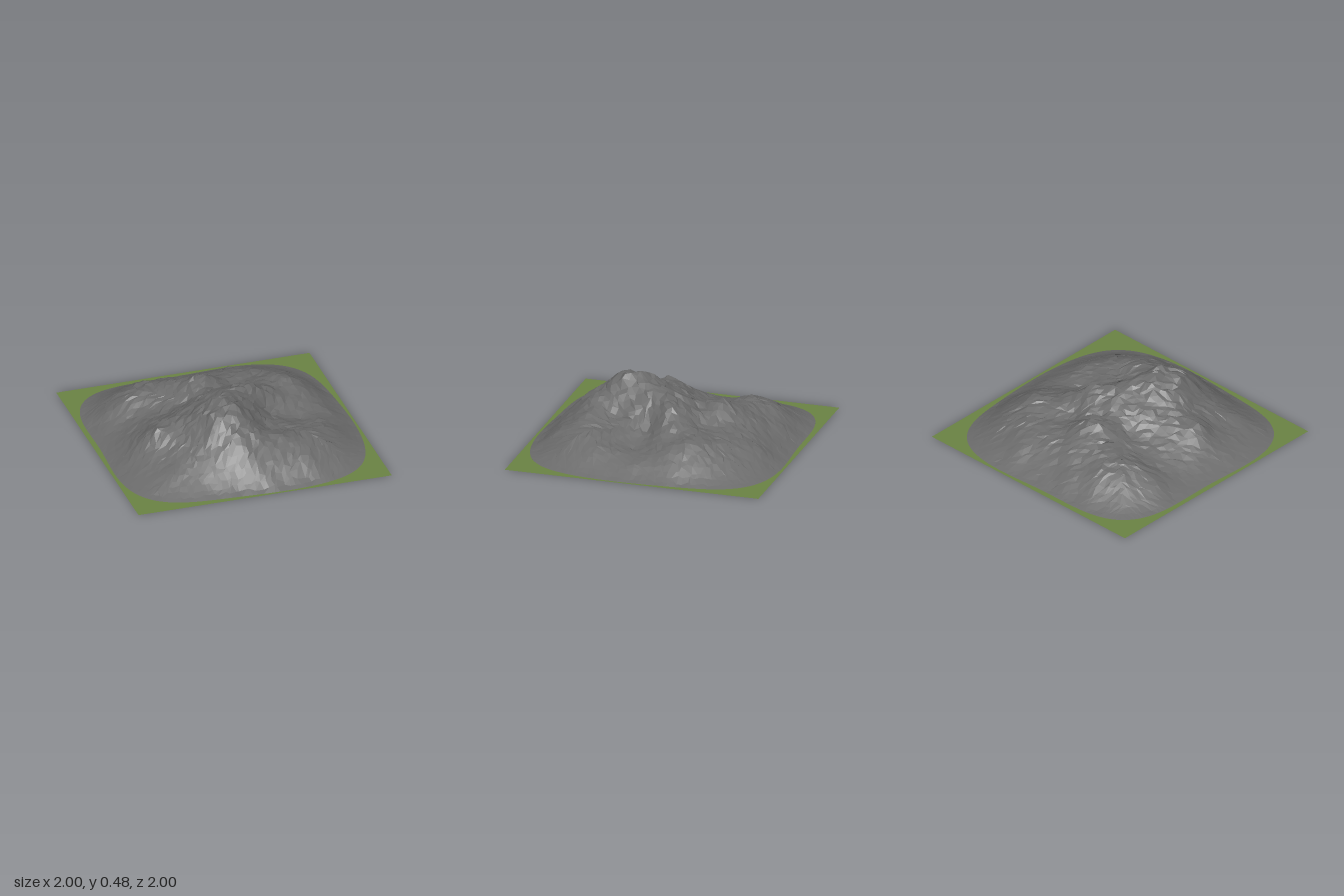
import * as THREE from 'three';

// Ridge and hollow lines, each a path of [x, z, height]
const LINES = [
  // main crest, west to east
  [[-0.8, 0.15, 0.09], [-0.6, 0.22, 0.265], [-0.42, 0.31, 0.255], [-0.23, 0.41, 0.43], [-0.05, 0.32, 0.47],
    [0.03, 0.1, 0.4], [0.15, -0.02, 0.38], [0.28, -0.07, 0.345], [0.47, -0.2, 0.22], [0.58, -0.3, 0.24],
    [0.72, -0.27, 0.17]],
  // front buttress, west spur and the gully between spur and crest
  [[-0.12, 0.48, 0.41], [-0.05, 0.7, 0.25], [0.02, 0.9, 0.06]],
  [[-0.3, 0.44, 0.33], [-0.4, 0.55, 0.21], [-0.75, 0.75, 0.04]],
  [[-0.6, 0.38, 0.16]],
  // rim around the eastern hollow
  [[0, 0.4, 0.41], [0.14, 0.5, 0.28], [0.37, 0.59, 0.21], [0.6, 0.54, 0.165], [0.69, 0.36, 0.135],
    [0.7, 0.03, 0.11]],
  // ribs and hollows in the east face
  [[0.18, 0.18, 0.3]], [[0.2, 0.36, 0.21]], [[0.42, 0.24, 0.16]], [[0.3, 0.08, 0.18], [0.55, 0.12, 0.1]],
  // saddle, rear peak and its north spur
  [[-0.02, -0.22, 0.275], [-0.08, -0.36, 0.345], [-0.2, -0.55, 0.22], [-0.22, -0.8, 0.1]],
  // north west ridge and knoll
  [[-0.35, -0.47, 0.22], [-0.6, -0.45, 0.19], [-0.8, -0.42, 0.1]], [[-0.46, -0.65, 0.19]],
  // western basin
  [[-0.28, -0.18, 0.2], [-0.65, -0.26, 0.11]],
  // northern shelf
  [[0.2, -0.3, 0.2], [0.3, -0.62, 0.185], [0.3, -0.78, 0.12]], [[0.6, -0.55, 0.16]],
  // outer flanks
  [[0.82, -0.35, 0.09], [0.82, 0.4, 0.07]], [[0.4, 0.8, 0.12]],
];

const CELLS = 46;

// Repeatable scatter between -0.5 and 0.5
const scatter = (n) => { const s = Math.sin(n * 127.1 + 11.7) * 43758.5453; return s - Math.floor(s) - 0.5; };

// Foot of the mountain: a rounded square with a slightly uneven edge
function footPoint(a) {
  const c = Math.cos(a), s = Math.sin(a);
  const r = (0.97 + 0.012 * Math.sin(5 * a + 1)) / Math.pow(c ** 4 + s ** 4, 0.25);
  return new THREE.Vector2(c * r, s * r);
}
const footOutline = (count) => Array.from({ length: count }, (_, i) => footPoint((i / count) * Math.PI * 2));

// Points and midpoints of every line, plus the flat foot
function controlPoints() {
  const pts = [];
  for (const line of LINES) {
    line.forEach((p, i) => {
      pts.push(p);
      if (i) pts.push(p.map((v, k) => (v + line[i - 1][k]) / 2));
    });
  }
  for (const { x, y } of footOutline(32)) pts.push([x, y, 0], [x * 0.945, y * 0.945, 0.018]);
  return pts;
}

// Height that passes through all points: weighted distances plus a constant
function heightField(pts) {
  const n = pts.length;
  const m = pts.map((p) => [...pts.map((q) => Math.hypot(p[0] - q[0], p[1] - q[1])), 1, p[2]]);
  m.push([...pts.map(() => 1), 0, 0]);
  for (let c = 0; c <= n; c++) {
    let best = c;
    for (let r = c + 1; r <= n; r++) if (Math.abs(m[r][c]) > Math.abs(m[best][c])) best = r;
    [m[c], m[best]] = [m[best], m[c]];
    for (let r = 0; r <= n; r++) {
      if (r === c) continue;
      const f = m[r][c] / m[c][c];
      for (let k = c; k <= n + 1; k++) m[r][k] -= f * m[c][k];
    }
  }
  const w = m.map((row, i) => row[n + 1] / row[i]);
  return (x, z) => pts.reduce((s, p, i) => s + w[i] * Math.hypot(p[0] - x, p[1] - z), w[n]);
}

// Faceted mountain: a grid drawn in to the rounded foot, scattered and raised
function mountainGeometry() {
  const height = heightField(controlPoints());
  const geo = new THREE.PlaneGeometry(2, 2, CELLS, CELLS).rotateX(-Math.PI / 2);
  const pos = geo.attributes.position;
  for (let i = 0; i < pos.count; i++) {
    const u = pos.getX(i), v = pos.getZ(i);
    const t = Math.max(Math.abs(u), Math.abs(v));
    const foot = footPoint(Math.atan2(v, u)).multiplyScalar(t);
    if (t > 0.999) {
      pos.setXYZ(i, foot.x, 0, foot.y);
      continue;
    }
    const x = foot.x + 0.03 * scatter(i), z = foot.y + 0.03 * scatter(i + 5000);
    const crags = 0.03 * Math.sin(17 * x + 5 * z) * Math.sin(19 * z - 7 * x) + 0.07 * scatter(i + 9000);
    pos.setXYZ(i, x, Math.max(0.002, height(x, z) * (1 + crags)), z);
  }
  geo.computeVertexNormals();
  return geo;
}

// Square meadow with an opening where the mountain stands
function grassGeometry() {
  const square = new THREE.Shape().moveTo(-1, -1).lineTo(1, -1).lineTo(1, 1).lineTo(-1, 1);
  square.holes.push(new THREE.Path(footOutline(160).map((p) => new THREE.Vector2(p.x, -p.y))));
  return new THREE.ShapeGeometry(square).rotateX(-Math.PI / 2);
}

export function createModel() {
  const group = new THREE.Group();
  group.name = 'mountainTerrain';

  const rock = new THREE.MeshStandardMaterial({ color: 0x6c6c6c, flatShading: true, side: THREE.DoubleSide });
  const mountain = new THREE.Mesh(mountainGeometry(), rock);
  mountain.name = 'mountain';

  const green = new THREE.MeshStandardMaterial({ color: 0x6b8444, side: THREE.DoubleSide });
  const grass = new THREE.Mesh(grassGeometry(), green);
  grass.name = 'grass';

  group.add(mountain, grass);
  return group;
}
